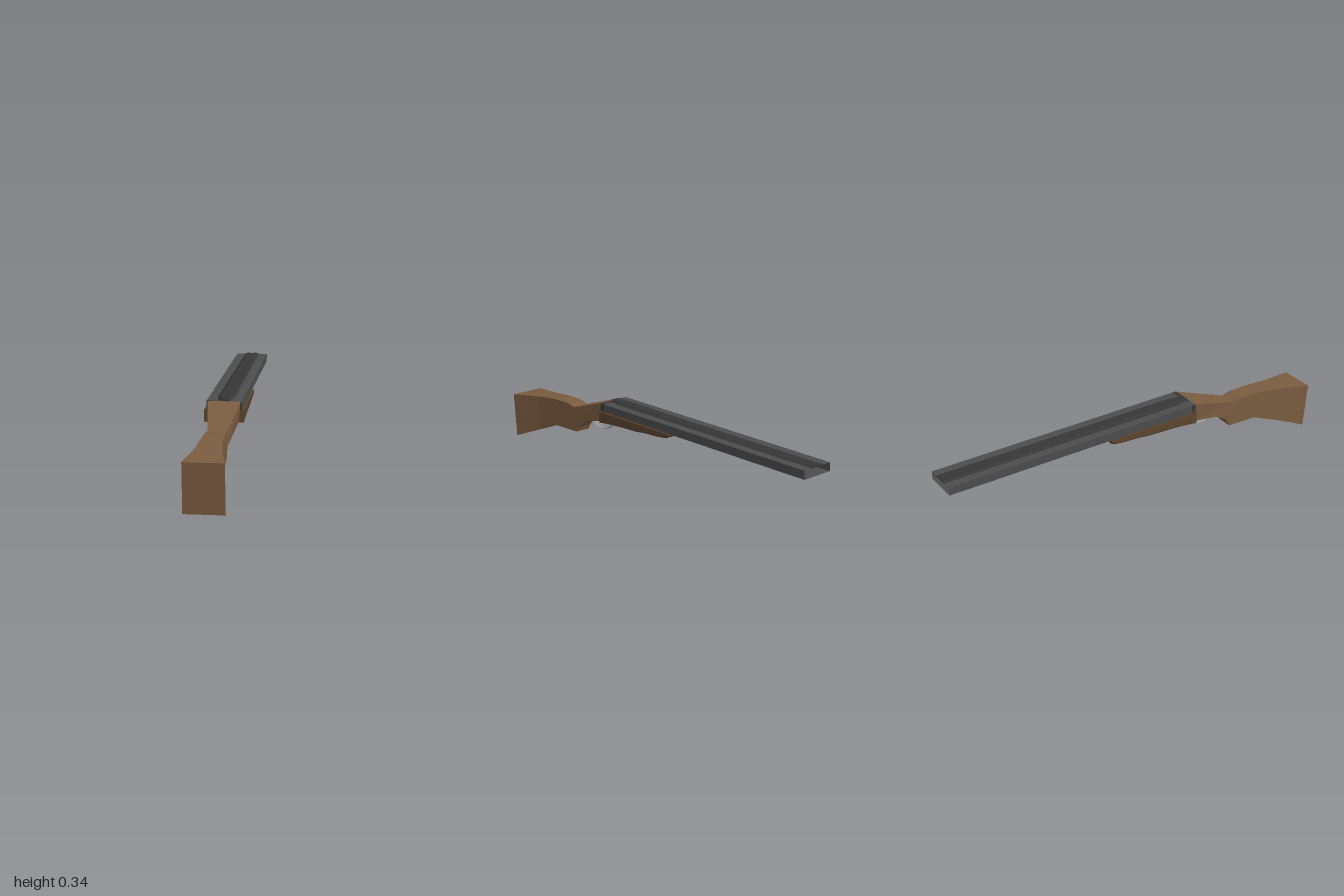
import * as THREE from 'three';

const mat = (color, side = THREE.FrontSide) =>
  new THREE.MeshStandardMaterial({ color, flatShading: true, side });

// Joins rings of equal point count (counter-clockwise seen from +z, listed from +z to -z).
function loft(rings, capped = true) {
  const pos = [];
  const n = rings[0].length;
  const tri = (a, b, c) => pos.push(...a, ...b, ...c);
  for (let i = 0; i < rings.length - 1; i++) {
    for (let j = 0; j < n; j++) {
      const k = (j + 1) % n;
      const [a, b, c, d] = [rings[i][j], rings[i][k], rings[i + 1][k], rings[i + 1][j]];
      tri(a, d, c);
      tri(a, c, b);
    }
  }
  if (capped) {
    const first = rings[0], last = rings[rings.length - 1];
    for (let j = 1; j < n - 1; j++) {
      tri(first[0], first[j], first[j + 1]);
      tri(last[0], last[j + 1], last[j]);
    }
  }
  const g = new THREE.BufferGeometry();
  g.setAttribute('position', new THREE.Float32BufferAttribute(pos, 3));
  g.computeVertexNormals();
  return g;
}

// Four-sided ring: top z, y, half width, then bottom z, y, half width.
const quad = ([zt, yt, wt, zb, yb, wb]) =>
  [[-wb, yb, zb], [wb, yb, zb], [wt, yt, zt], [-wt, yt, zt]];

export function createModel() {
  const group = new THREE.Group();
  const add = (name, geometry, material) => {
    const mesh = new THREE.Mesh(geometry, material);
    mesh.name = name;
    group.add(mesh);
    return mesh;
  };
  const wood = mat(0x7a5c40);
  const darkWood = mat(0x5c442e);
  const steel = mat(0x4c4c4c, THREE.DoubleSide);
  const darkSteel = mat(0x363636, THREE.DoubleSide);
  const silver = mat(0x999999, THREE.DoubleSide);

  // Butt, wrist and receiver in one tapering body
  add('stock', loft([
    [1.0, 0.22, 0.087, 0.98, 0.0, 0.088],
    [0.92, 0.229, 0.071, 0.91, 0.029, 0.072],
    [0.83, 0.239, 0.055, 0.83, 0.06, 0.056],
    [0.70, 0.252, 0.046, 0.69, 0.115, 0.046],
    [0.59, 0.252, 0.044, 0.60, 0.166, 0.044],
    [0.555, 0.241, 0.042, 0.55, 0.177, 0.044],
    [0.30, 0.325, 0.075, 0.30, 0.23, 0.066],
  ].map(quad)), wood);

  // Grip swelling under the wrist
  add('grip', loft([
    [0.69, 0.125, 0.045, 0.69, 0.115, 0.045],
    [0.60, 0.18, 0.043, 0.61, 0.115, 0.043],
    [0.56, 0.185, 0.042, 0.54, 0.115, 0.04],
    [0.53, 0.188, 0.042, 0.53, 0.137, 0.04],
    [0.50, 0.193, 0.042, 0.505, 0.165, 0.04],
    [0.45, 0.2, 0.042, 0.46, 0.188, 0.04],
  ].map(quad)), wood);

  // Fore-end with chamfered lower edges and a rounded nose
  const foreRing = ([z, low, chamfer]) => [
    [-0.09 + chamfer, low, z], [0.09 - chamfer, low, z], [0.09, low + chamfer, z],
    [0.09, 0.286, z], [-0.09, 0.286, z], [-0.09, low + chamfer, z]];
  add('foreEnd', loft([
    [0.30, 0.229, 0.002], [0.22, 0.237, 0.005], [0.12, 0.241, 0.008], [0.04, 0.244, 0.008],
    [-0.02, 0.251, 0.008], [-0.1, 0.254, 0.01], [-0.155, 0.26, 0.01],
    [-0.175, 0.266, 0.01], [-0.182, 0.278, 0.007],
  ].map(foreRing)), darkWood);

  // Barrel housing, open at the muzzle
  const barrelRing = z => quad([z, 0.325, 0.08, z, 0.286, 0.08]);
  add('barrel', loft([0.30, -1].map(barrelRing), false), steel);
  const breech = add('breechPlate', new THREE.BoxGeometry(0.16, 0.039, 0.02), darkSteel);
  breech.position.set(0, 0.3055, 0.288);

  // Raised sighting rib with a shallow groove, narrowing at the breech
  const ribRing = ([z, w, h]) => [
    [-w, 0.324, z], [w, 0.324, z], [w / 2, 0.324 + h, z],
    [0, 0.322 + h, z], [-w / 2, 0.324 + h, z]];
  add('rib', loft([
    [0.29, 0.026, 0.012], [0.21, 0.04, 0.012], [0.01, 0.04, 0.011],
    [-0.5, 0.04, 0.009], [-1, 0.04, 0.007],
  ].map(ribRing)), darkSteel);

  // Trigger guard and trigger
  const strip = points => new THREE.TubeGeometry(
    new THREE.CatmullRomCurve3(points.map(([y, z]) => new THREE.Vector3(0, y, z))), 16, 0.004, 4);
  const guard = add('triggerGuard', strip(
    [[0.225, 0.302], [0.198, 0.306], [0.176, 0.34], [0.167, 0.385], [0.172, 0.42], [0.198, 0.445]]), silver);
  const trigger = add('trigger', strip([[0.214, 0.385], [0.196, 0.395], [0.18, 0.385]]), silver);
  guard.scale.x = trigger.scale.x = 2;

  return group;
}
